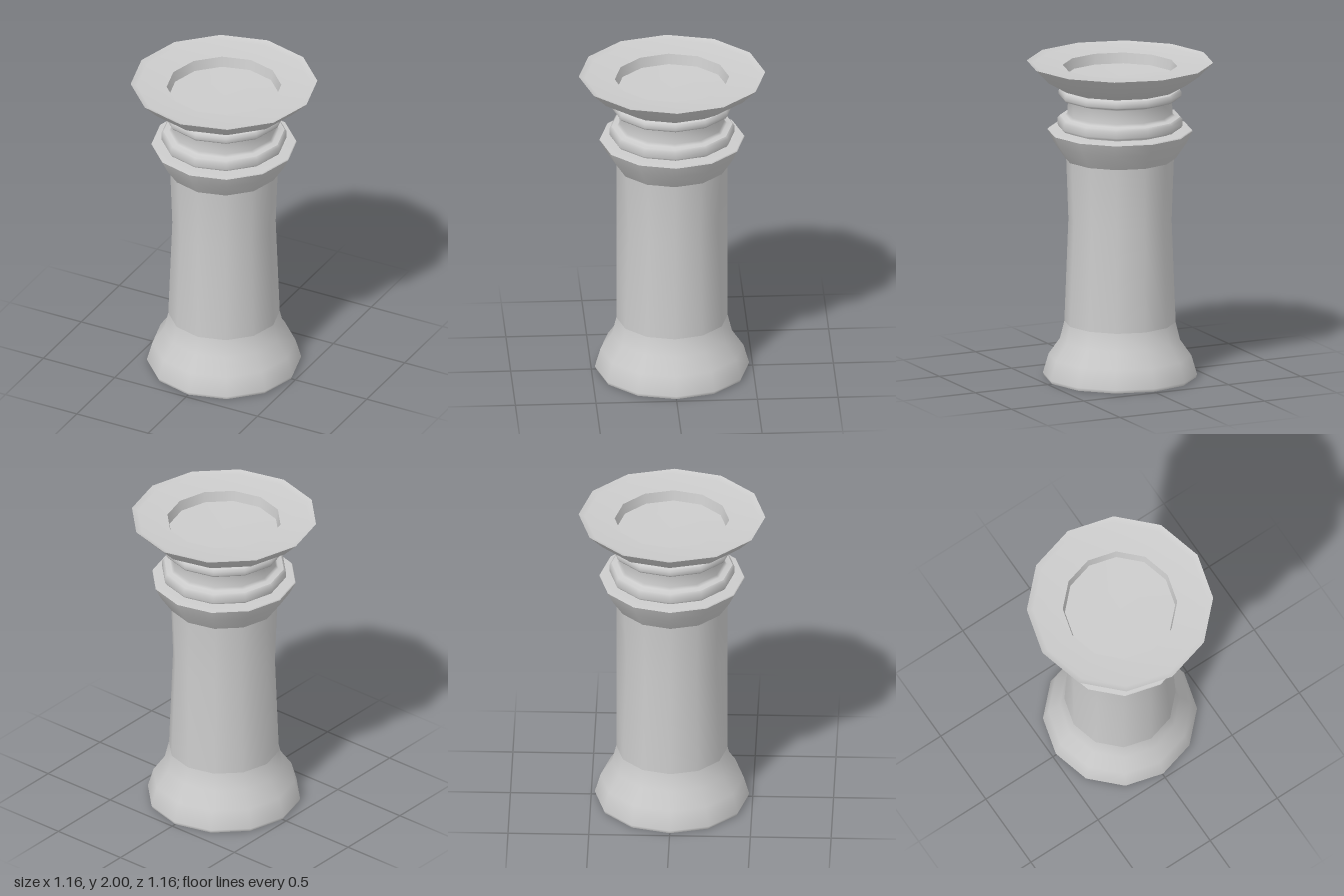
import * as THREE from 'three';

const SIDES = 12;
const material = new THREE.MeshStandardMaterial({ color: 0xcccccc });

// One turned part; each profile [radius, height] is smooth, with sharp edges between profiles
function turned(name, ...profiles) {
  const part = new THREE.Group();
  part.name = name;
  profiles.forEach((profile, i) => {
    const points = profile.map(([r, y]) => new THREE.Vector2(r, y));
    const mesh = new THREE.Mesh(new THREE.LatheGeometry(points, SIDES), material);
    mesh.name = `${name}Surface${i + 1}`;
    part.add(mesh);
  });
  return part;
}

export function createModel() {
  const model = new THREE.Group();
  model.name = 'pedestal';

  // Flared foot with a closed underside
  model.add(turned('foot',
    [[0, 0], [0.47, 0]],
    [[0.47, 0], [0.478, 0.02], [0.443, 0.14], [0.372, 0.24], [0.345, 0.35]]));

  // Shaft, slightly waisted except along the back, front and right edges
  const shaft = turned('shaft', [[0.345, 0.35], [0.32, 1.0], [0.334, 1.39]]);
  const position = shaft.children[0].geometry.attributes.position;
  for (let i = 0; i < position.count; i++) {
    const x = position.getX(i), z = position.getZ(i);
    const straight = Math.abs(x) < 0.01 || (x < 0 && Math.abs(z) < 0.01);
    if (!straight) continue;
    const scale = 0.345 / Math.hypot(x, z);
    position.setX(i, x * scale);
    position.setZ(i, z * scale);
  }
  model.add(shaft);

  // Collar flaring out above the shaft
  model.add(turned('collar',
    [[0.32, 1.39], [0.345, 1.39]],
    [[0.345, 1.39], [0.413, 1.49], [0.45, 1.565]],
    [[0.45, 1.565], [0.445, 1.573], [0.32, 1.573]]));

  // Neck between two rounded bands
  model.add(turned('neck',
    [[0.345, 1.57], [0.345, 1.585], [0.38, 1.587]],
    [[0.38, 1.587], [0.388, 1.6], [0.388, 1.64], [0.375, 1.655]],
    [[0.375, 1.655], [0.34, 1.66], [0.325, 1.675], [0.323, 1.76], [0.34, 1.772]],
    [[0.34, 1.772], [0.372, 1.778], [0.38, 1.79], [0.38, 1.815], [0.37, 1.828]],
    [[0.37, 1.828], [0.345, 1.835]]));

  // Wide dish: outside, sloping rim and sunken floor
  model.add(turned('dish',
    [[0.33, 1.83], [0.365, 1.838], [0.49, 1.91], [0.578, 2.0]],
    [[0.578, 2.0], [0.54, 1.985], [0.355, 1.975]],
    [[0.355, 1.975], [0.342, 1.91]],
    [[0.342, 1.91], [0, 1.905]]));

  return model;
}
